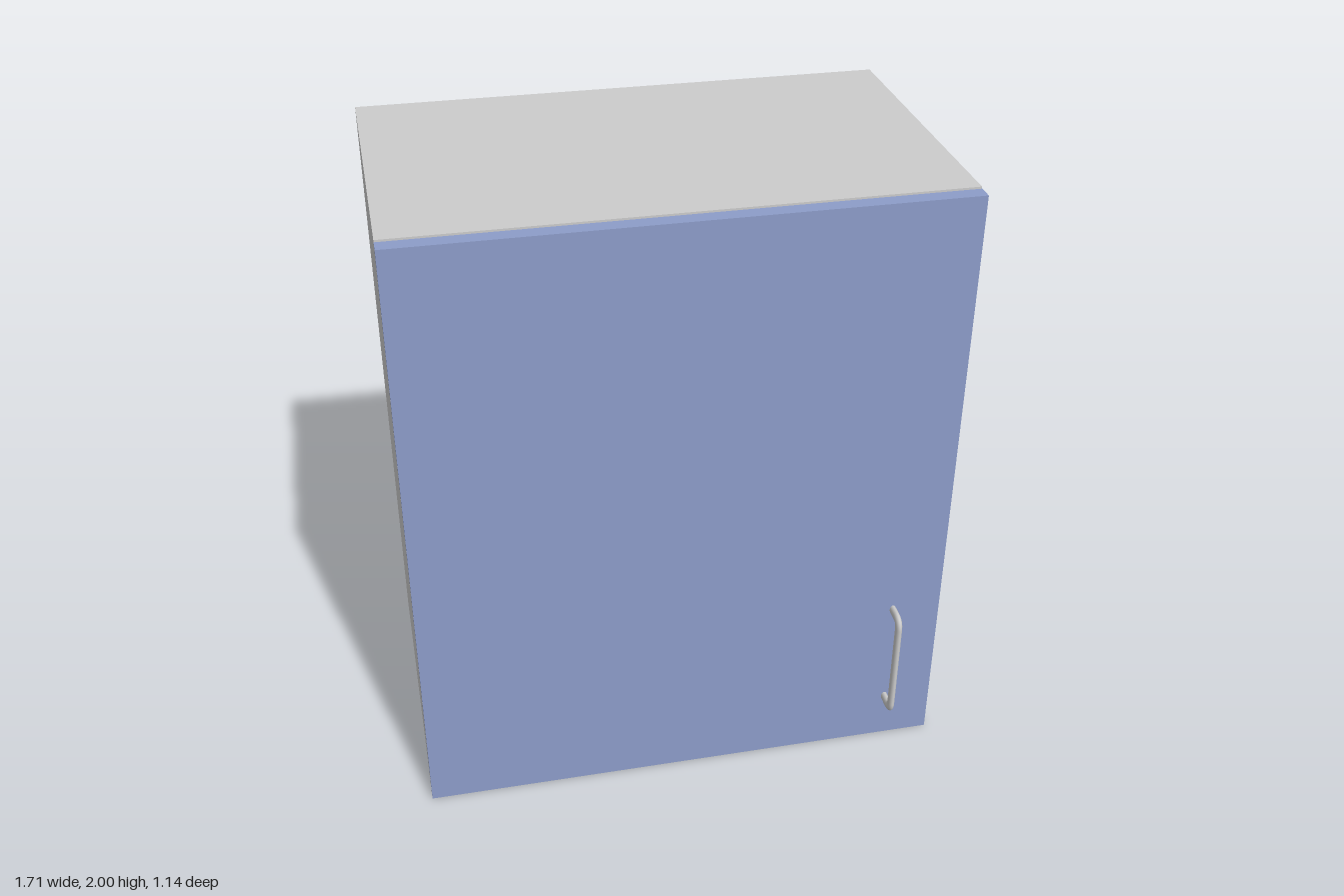
import * as THREE from 'three';

const grey = new THREE.MeshStandardMaterial({ color: 0xcccccc });
const blue = new THREE.MeshStandardMaterial({ color: 0x8c9cc8 });

// Box given by its lower and upper corners
function box(name, min, max, material) {
  const size = max.map((v, i) => v - min[i]);
  const mesh = new THREE.Mesh(new THREE.BoxGeometry(...size), material);
  mesh.position.set(...max.map((v, i) => (v + min[i]) / 2));
  mesh.name = name;
  return mesh;
}

// Bow handle: rounded U path swept with a round section, flattened sideways
function createHandle() {
  const v = (y, z) => new THREE.Vector3(0, y, z);
  const low = 0.164, high = 0.539, base = 0.475, out = 0.549, r = 0.03;
  const path = new THREE.CurvePath();
  path.add(new THREE.LineCurve3(v(low, base), v(low, out - r)));
  path.add(new THREE.QuadraticBezierCurve3(v(low, out - r), v(low, out), v(low + r, out)));
  path.add(new THREE.LineCurve3(v(low + r, out), v(high - r, out)));
  path.add(new THREE.QuadraticBezierCurve3(v(high - r, out), v(high, out), v(high, out - r)));
  path.add(new THREE.LineCurve3(v(high, out - r), v(high, base)));
  const geometry = new THREE.TubeGeometry(path, 120, 0.0175, 16);
  geometry.scale(0.6, 1, 1);
  const handle = new THREE.Mesh(geometry, grey);
  handle.position.x = 0.695;
  handle.name = 'handle';
  return handle;
}

export function createModel() {
  const group = new THREE.Group();
  group.name = 'wallCabinet';
  group.add(
    box('carcass', [-0.855, 0, -0.57], [0.855, 2, 0.432], grey),
    // Door sits just in front of the carcass and stops just below its top
    box('door', [-0.855, 0, 0.435], [0.855, 1.995, 0.484], blue),
    createHandle()
  );
  return group;
}
